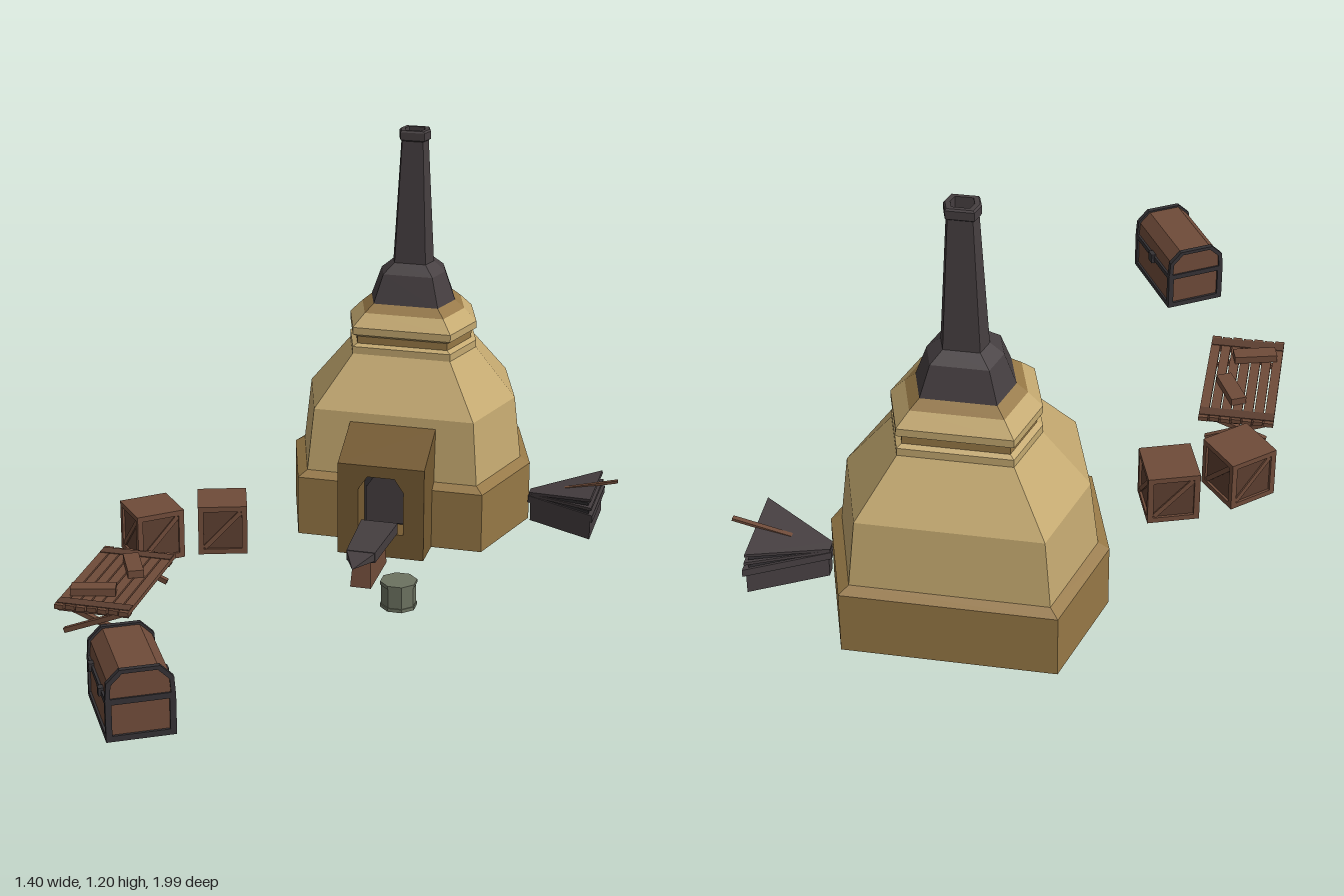
import * as THREE from 'three';

const mat = (name, color, side = THREE.FrontSide) => {
  const m = new THREE.MeshStandardMaterial({ color, side, flatShading: true });
  m.name = name;
  return m;
};
const tan = mat('tan clay', 0xc4a970, THREE.DoubleSide);
const clay = mat('brown clay', 0x967846, THREE.DoubleSide);
const porchClay = mat('dark clay', 0x755a32);
const steel = mat('steel', 0x453e40, THREE.DoubleSide);
const iron = mat('dark iron', 0x343134);
const wood = mat('wood', 0x6f4b39);
const darkWood = mat('dark wood', 0x5c3e30);
const moss = mat('grey green', 0x6c7260);

function add(parent, name, geo, material, x = 0, y = 0, z = 0) {
  const m = new THREE.Mesh(geo, material);
  m.name = name;
  m.position.set(x, y, z);
  parent.add(m);
  return m;
}
const box = (p, name, material, w, h, d, x, y, z) =>
  add(p, name, new THREE.BoxGeometry(w, h, d), material, x, y, z);

function group(parent, name, x, z, degrees = 0) {
  const g = new THREE.Group();
  g.name = name;
  g.position.set(x, 0, z);
  g.rotation.y = THREE.MathUtils.degToRad(degrees);
  parent.add(g);
  return g;
}

const shapeOf = pts => new THREE.Shape(pts.map(p => new THREE.Vector2(...p)));
const extrude = (shape, depth) =>
  new THREE.ExtrudeGeometry(shape, { depth, bevelEnabled: false, curveSegments: 4 }).translate(0, 0, -depth / 2);

// Six-sided stretched rings joined along a profile of [radius, height]
function hexLoft(profile) {
  const corners = [[1, 0], [0.76, 0.79], [-0.76, 0.79], [-1, 0], [-0.76, -0.79], [0.76, -0.79]];
  const at = ([r, y], i) => [corners[i % 6][0] * r, y, corners[i % 6][1] * r];
  const out = [];
  for (let k = 0; k < profile.length - 1; k++) for (let i = 0; i < 6; i++) {
    const a = at(profile[k], i), b = at(profile[k], i + 1);
    const c = at(profile[k + 1], i + 1), d = at(profile[k + 1], i);
    out.push(...a, ...d, ...c, ...a, ...c, ...b);
  }
  const g = new THREE.BufferGeometry();
  g.setAttribute('position', new THREE.Float32BufferAttribute(out, 3));
  g.computeVertexNormals();
  return g;
}

function archPath(Type, half, bottom, top) {
  const s = new Type();
  s.moveTo(-half, bottom);
  s.lineTo(half, bottom);
  s.lineTo(half, top - half * 0.6);
  s.lineTo(half * 0.6, top);
  s.lineTo(-half * 0.6, top);
  s.lineTo(-half, top - half * 0.6);
  s.closePath();
  return s;
}

function buildFurnace(root) {
  const f = group(root, 'furnace', 0.06, -0.71);
  add(f, 'furnaceBase', hexLoft([[0.345, 0.18], [0.345, 0], [0.37, 0], [0.37, 0.182], [0.34, 0.2]]), clay);
  add(f, 'furnaceBody', hexLoft([[0.34, 0.2], [0.318, 0.39], [0.195, 0.54], [0.195, 0.562], [0.18, 0.57]]), tan);
  add(f, 'neckGroove', hexLoft([[0.18, 0.57], [0.18, 0.592]]), clay);
  add(f, 'neckRing', hexLoft([[0.18, 0.592], [0.195, 0.6], [0.195, 0.622], [0.157, 0.66]]), tan);
  add(f, 'neckTop', hexLoft([[0.157, 0.66], [0.125, 0.687]]), clay);
  add(f, 'chimney', hexLoft([[0.13, 0.68], [0.098, 0.77], [0.062, 0.8], [0.041, 1.17]]), steel);
  add(f, 'chimneyCap', hexLoft([[0.041, 1.168], [0.047, 1.172], [0.047, 1.195], [0.043, 1.2],
    [0.03, 1.2], [0.03, 1.16], [0, 1.16]]), steel);

  // Porch with an arched mouth and a sloping roof
  const p = group(root, 'porch', 0.06, -0.31);
  const front = shapeOf([[-0.13, 0], [0.13, 0], [0.13, 0.285], [-0.13, 0.285]]);
  front.holes.push(archPath(THREE.Path, 0.068, 0.075, 0.25));
  add(p, 'porchWall', extrude(front, 0.14), porchClay, 0, 0, -0.07);
  const roof = extrude(shapeOf([[0, 0.285], [0.148, 0.285], [0.148, 0.362]]), 0.26).rotateY(Math.PI / 2);
  add(p, 'porchRoof', roof, porchClay);
  add(p, 'mouthLining', extrude(archPath(THREE.Shape, 0.068, 0.075, 0.25), 0.02), iron, 0, 0, -0.09);
  add(p, 'mouthBack', extrude(archPath(THREE.Shape, 0.062, 0.08, 0.225), 0.008), steel, 0, 0, -0.077);
}

function buildAnvil(root) {
  const a = group(root, 'anvil', 0.057, 0);
  const plan = shapeOf([[-0.055, 0.31], [-0.042, 0.085], [0.042, 0.085], [0.055, 0.31]]);
  add(a, 'anvilTop', extrude(plan, 0.032).rotateX(-Math.PI / 2), steel, 0, 0.097, 0);
  const horn = new THREE.ConeGeometry(0.042 * Math.SQRT2, 0.1, 4, 1).rotateY(Math.PI / 4)
    .scale(1, 1, 0.3).rotateX(Math.PI / 2);
  add(a, 'anvilHorn', horn, steel, 0, 0.099, -0.037);
  const stump = new THREE.CylinderGeometry(0.6, 0.72, 0.085, 4, 1).rotateY(Math.PI / 4).scale(0.06, 1, 0.19);
  add(a, 'anvilStand', stump, wood, 0, 0.0425, -0.18);
}

function buildBellows(root) {
  const b = group(root, 'bellows', 0.43, -0.71);
  const plate = (inset, h) => extrude(shapeOf([[inset, -0.016], [0.215 - inset, -0.125 + inset],
    [0.215 - inset, 0.125 - inset], [inset, 0.016]]), h).rotateX(-Math.PI / 2);
  add(b, 'bellowsStand', plate(0.008, 0.06), steel, 0, 0.03, 0);
  add(b, 'bellowsShelf', plate(0, 0.022), steel, 0, 0.069, 0);
  for (let i = 0; i < 4; i++) {
    const pleat = add(b, 'bellowsPleat', plate(i % 2 ? 0.004 : 0.014, 0.009), i % 2 ? steel : iron, 0, 0.08 + i * 0.002, 0);
    pleat.rotation.z = 0.02 + i * 0.058;
  }
  const handle = box(b, 'bellowsHandle', wood, 0.165, 0.008, 0.014, 0.19, 0.129, 0);
  handle.rotation.z = 0.24;
}

function buildCrate(root, x, z, turn) {
  const c = group(root, 'crate', x, z, turn);
  const s = 0.145, t = 0.016;
  box(c, 'crateCore', darkWood, s - 0.014, 0.14, s - 0.014, 0, 0.074, 0);
  box(c, 'crateLid', wood, s, t, s, 0, 0.15 - t / 2, 0);
  for (let i = 0; i < 4; i++) {
    const side = group(c, 'crateSide', 0, 0, i * 90);
    const d = s / 2 - 0.005;
    box(side, 'cratePost', wood, t, 0.135, 0.01, s / 2 - t / 2, 0.0675, d);
    box(side, 'cratePost', wood, t, 0.135, 0.01, -s / 2 + t / 2, 0.0675, d);
    box(side, 'crateRail', wood, s - 2 * t, t, 0.01, 0, t / 2, d);
    box(side, 'crateBrace', wood, 0.155, 0.014, 0.007, 0, 0.075, d - 0.001).rotation.z = 0.8;
  }
}

function buildTable(root) {
  const t = group(root, 'table', -0.573, 0.22);
  for (let i = 0; i < 7; i++)
    box(t, 'tablePlank', wood, 0.027, 0.013, 0.41 - (i % 2) * 0.006, (i - 3) * 0.0312, 0.084, 0);
  for (const s of [-1, 1]) {
    box(t, 'tableBeam', darkWood, 0.205, 0.012, 0.03, 0, 0.073, s * 0.175);
    box(t, 'tableStrap', darkWood, 0.212, 0.003, 0.035, 0, 0.091, s * 0.175);
    for (const k of [-1, 1]) {
      const leg = box(t, 'tableLeg', wood, 0.185, 0.014, 0.014, 0, 0.042, s * 0.178 + k * 0.008);
      leg.rotation.z = k * 0.38;
    }
  }
  // Ingots lying on the table
  const ingot = (x, z, r) => {
    const g = group(t, 'ingot', x, z, r);
    box(g, 'ingotBlock', wood, 0.045, 0.022, 0.125, 0, 0.102, 0);
  };
  ingot(0.026, -0.072, 26);
  ingot(-0.027, 0.107, 104);
}

function buildChest(root) {
  const c = group(root, 'chest', -0.315, 0.828, 30);
  box(c, 'chestBody', wood, 0.168, 0.105, 0.256, 0, 0.07, 0);
  const arch = k => shapeOf([[-0.086, 0], [0.086, 0], [0.083, 0.042], [0.05, 0.075],
    [-0.05, 0.075], [-0.083, 0.042]].map(([x, y]) => [x * k, y * k]));
  add(c, 'chestLid', extrude(arch(0.97), 0.26), wood, 0, 0.128, 0);
  for (const s of [-1, 1]) {
    // Iron trim on the corners, rims and lid ends
    const band = arch(1.04);
    band.holes.push(arch(0.9));
    add(c, 'lidBand', extrude(band, 0.014), iron, 0, 0.128, s * 0.128);
    for (const y of [0.018, 0.12]) {
      box(c, 'chestRimLong', iron, 0.01, 0.016, 0.266, s * 0.085, y, 0);
      box(c, 'chestRimShort', iron, 0.178, 0.016, 0.01, 0, y, s * 0.13);
    }
    for (const k of [-1, 1])
      box(c, 'chestCorner', iron, 0.016, 0.11, 0.016, k * 0.082, 0.068, s * 0.127);
    box(c, 'chestHinge', iron, 0.014, 0.022, 0.02, -0.09, 0.124, s * 0.07);
  }
  box(c, 'chestLatch', iron, 0.014, 0.03, 0.026, 0.09, 0.118, 0);
}

function buildBucket(root) {
  const b = group(root, 'bucket', 0.19, 0.005, 22.5);
  add(b, 'bucketBody', new THREE.CylinderGeometry(0.05, 0.05, 0.076, 8), moss, 0, 0.039, 0);
  for (const y of [0.006, 0.074])
    add(b, 'bucketHoop', new THREE.CylinderGeometry(0.053, 0.053, 0.01, 8), moss, 0, y, 0);
}

export function createModel() {
  const root = new THREE.Group();
  root.name = 'smeltingYard';
  buildFurnace(root);
  buildAnvil(root);
  buildBellows(root);
  buildCrate(root, -0.6, -0.172, 40);
  buildCrate(root, -0.417, -0.28, 18);
  buildTable(root);
  buildChest(root);
  buildBucket(root);
  return root;
}
